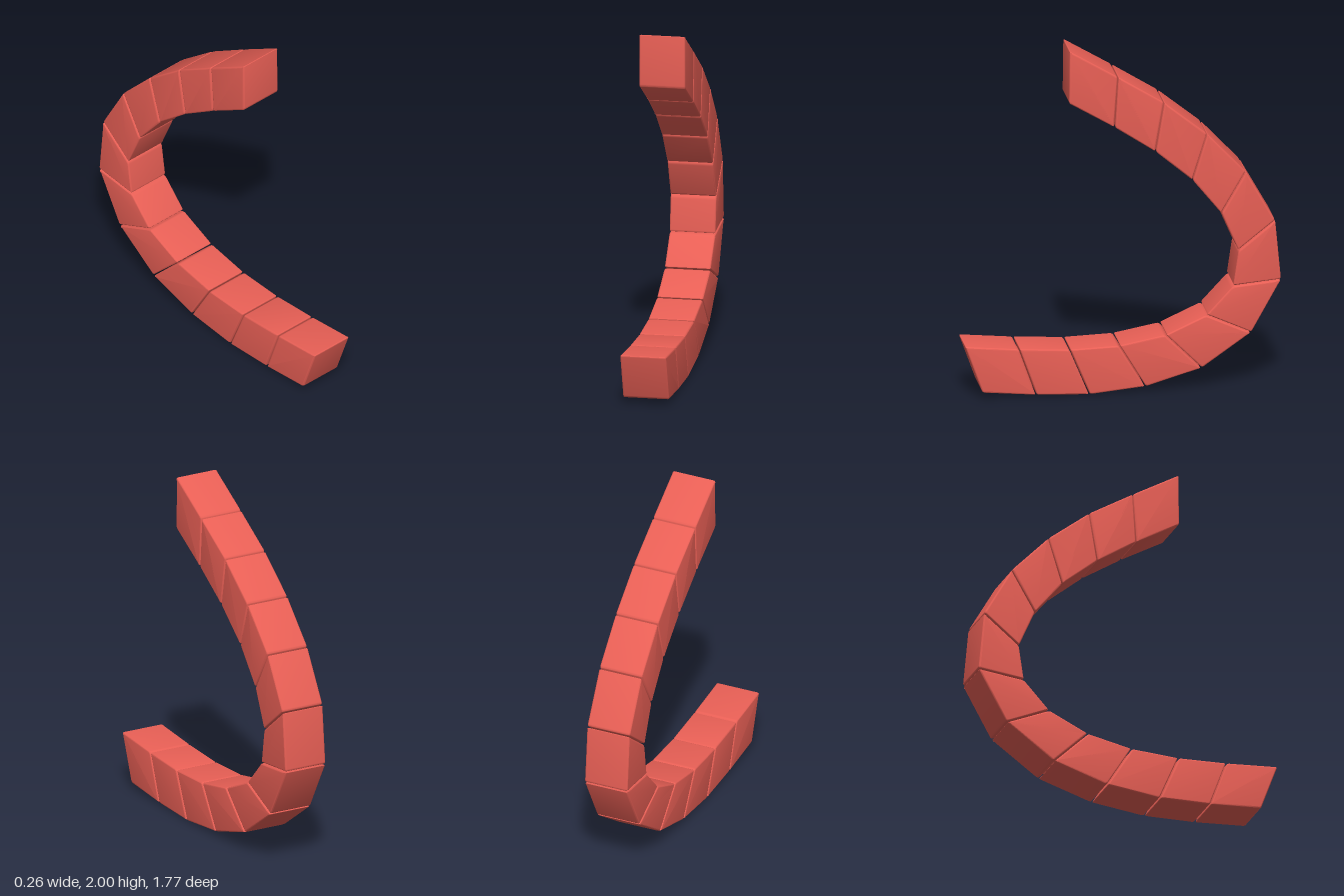
import * as THREE from 'three';
import { toCreasedNormals } from 'three/addons/utils/BufferGeometryUtils.js';

const HALF_WIDTH = 0.13, BEVEL = 0.01, GAP = 0.003, CORNER = 0.016;

// Joints along the hook, tip to foot: outer z, outer y, inner z, inner y
const joints = [
  [0.305, 2.01, 0.309, 1.7],
  [0.03, 1.848, 0.05, 1.548],
  [-0.23, 1.688, -0.18, 1.397],
  [-0.473, 1.495, -0.388, 1.222],
  [-0.692, 1.264, -0.55, 1.022],
  [-0.858, 0.972, -0.645, 0.803],
  [-0.891, 0.625, -0.615, 0.598],
  [-0.722, 0.322, -0.465, 0.437],
  [-0.442, 0.126, -0.235, 0.332],
  [-0.125, 0.032, 0.025, 0.282],
  [0.19, 0, 0.303, 0.271],
  [0.49, 0.01, 0.588, 0.286],
  [0.795, 0.036, 0.895, 0.313],
];

// Outline with slightly rounded corners
function roundedOutline(points) {
  const shape = new THREE.Shape();
  points.forEach((p, i) => {
    const toward = (q) => p.clone().add(q.clone().sub(p).setLength(CORNER));
    const a = toward(points[(i + points.length - 1) % points.length]);
    const b = toward(points[(i + 1) % points.length]);
    if (i === 0) shape.moveTo(a.x, a.y);
    else shape.lineTo(a.x, a.y);
    shape.quadraticCurveTo(p.x, p.y, b.x, b.y);
  });
  shape.closePath();
  return shape;
}

// One softly bevelled block between two neighbouring joints
function segmentGeometry(a, b) {
  const outline = [[a[0], a[1]], [a[2], a[3]], [b[2], b[3]], [b[0], b[1]]]
    .map(([z, y]) => new THREE.Vector2(-z, y));
  const depth = 2 * (HALF_WIDTH - BEVEL);
  const geometry = new THREE.ExtrudeGeometry(roundedOutline(outline), {
    depth, curveSegments: 4,
    bevelEnabled: true, bevelSize: BEVEL, bevelThickness: BEVEL,
    bevelOffset: -BEVEL - GAP, bevelSegments: 4,
  });
  geometry.translate(0, 0, -depth / 2);
  geometry.rotateY(Math.PI / 2);
  return toCreasedNormals(geometry, 0.5);
}

export function createModel() {
  const group = new THREE.Group();
  group.name = 'segmentedHook';
  const material = new THREE.MeshStandardMaterial({ color: 0xe85f55 });
  for (let i = 0; i < joints.length - 1; i++) {
    const mesh = new THREE.Mesh(segmentGeometry(joints[i], joints[i + 1]), material);
    mesh.name = `segment${i + 1}`;
    group.add(mesh);
  }
  return group;
}
